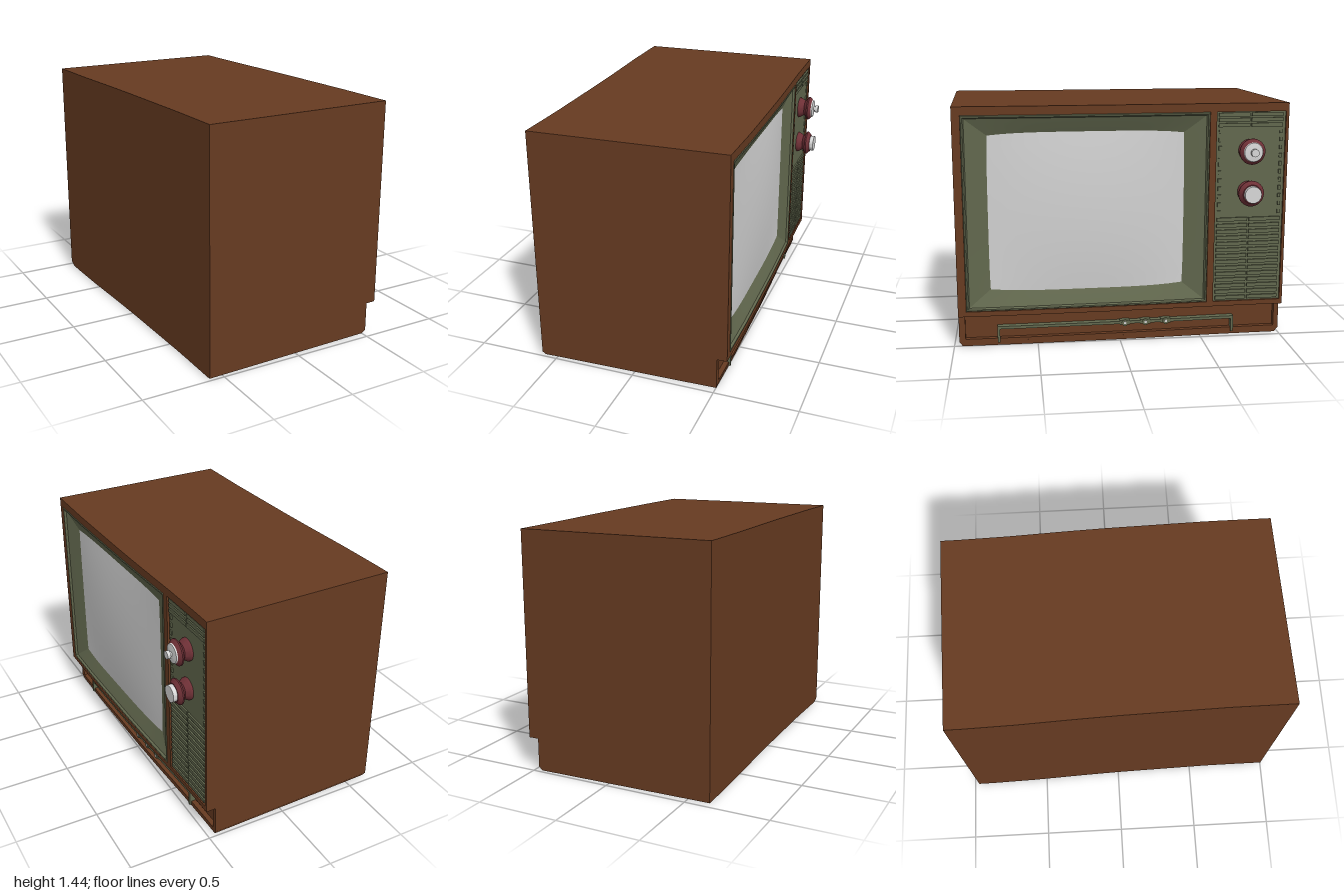
import * as THREE from 'three';
import { toCreasedNormals } from 'three/addons/utils/BufferGeometryUtils.js';

const mat = (name, color, side = THREE.FrontSide) => {
  const m = new THREE.MeshStandardMaterial({ color, side });
  m.name = name;
  return m;
};

// Slightly crooked cabinet: x offset along the width, given at a few z stations
const BEND = [[-1.1, 0], [-0.9, 0.002], [-0.6, 0.01], [-0.25, 0.026], [0, 0.035], [0.6, 0.049], [1.1, 0.05]];
function bend(z) {
  for (let i = 1; i < BEND.length; i++) {
    const [z0, a] = BEND[i - 1], [z1, b] = BEND[i];
    if (z <= z1) return a + (b - a) * Math.max(0, (z - z0) / (z1 - z0));
  }
  return 0.05;
}
function warp(geo) {
  const p = geo.attributes.position;
  for (let i = 0; i < p.count; i++) {
    const x = p.getX(i), z = p.getZ(i);
    p.setX(i, x + bend(z));
    p.setZ(i, z - 0.026 * (x - 0.52));
  }
  return geo;
}

export function createModel() {
  const wood = mat('wood', 0x673b21);
  const olive = mat('olive', 0x62684e);
  const oliveSheet = mat('olive bezel', 0x62684e, THREE.DoubleSide);
  const maroon = mat('maroon', 0x6e3036);
  const pale = mat('pale grey', 0xd8d8d8);
  const glass = mat('screen grey', 0xd2d2d2, THREE.DoubleSide);

  const tv = new THREE.Group();
  tv.name = 'television';
  const group = (name) => {
    const g = new THREE.Group();
    g.name = name;
    tv.add(g);
    return g;
  };
  const add = (parent, name, geo, material) => {
    const m = new THREE.Mesh(warp(geo), material);
    m.name = name;
    parent.add(m);
    return m;
  };
  const box = (parent, name, material, x0, x1, y0, y1, z0, z1) => {
    const segs = Math.max(1, Math.ceil((z1 - z0) / 0.1));
    const g = new THREE.BoxGeometry(x1 - x0, y1 - y0, z1 - z0, 1, 1, segs);
    g.translate((x0 + x1) / 2, (y0 + y1) / 2, (z0 + z1) / 2);
    return add(parent, name, g, material);
  };
  // Profile of [radius, x] pairs turned around an axis pointing out of the face
  const turned = (parent, name, material, pts, x, y, z, sides = 32) => {
    let g = new THREE.LatheGeometry(pts.map(([r, h]) => new THREE.Vector2(r, h)), sides);
    g = toCreasedNormals(g, 0.5);
    g.rotateZ(-Math.PI / 2).translate(x, y, z);
    return add(parent, name, g, material);
  };

  // Cabinet shell
  const Z0 = -1, Z1 = 0.968, FRONT = 0.52;
  const cabinet = group('cabinet');
  const side = new THREE.Shape([[-0.64, 0.03], [0.43, 0.03], [0.43, 0.2], [0.45, 0.203], [0.45, 1.44], [-0.64, 1.44]]
    .map(([x, y]) => new THREE.Vector2(x, y)));
  add(cabinet, 'shell', new THREE.ExtrudeGeometry(side, { depth: Z1 - Z0, steps: 20, bevelEnabled: false }).translate(0, 0, Z0), wood);

  // Tapered foot under the shell
  const foot = new THREE.BoxGeometry(1.1, 0.03, Z1 - Z0, 1, 1, 20);
  const fp = foot.attributes.position;
  for (let i = 0; i < fp.count; i++) {
    if (fp.getY(i) < 0) fp.setXYZ(i, fp.getX(i) * 0.985, fp.getY(i), fp.getZ(i) * 0.98);
  }
  foot.translate(-0.09, 0.015, (Z0 + Z1) / 2);
  add(cabinet, 'foot', foot, wood);

  // Front frame bars
  const frame = group('frontFrame');
  box(frame, 'topRail', wood, 0.45, FRONT, 1.39, 1.44, Z0, Z1);
  box(frame, 'bottomRail', wood, 0.42, FRONT, 0.205, 0.235, Z0, Z1);
  box(frame, 'screenStile', wood, 0.45, FRONT, 0.235, 1.39, 0.92, Z1);
  box(frame, 'middleStile', wood, 0.45, FRONT, 0.235, 1.39, -0.565, -0.525);
  box(frame, 'endStile', wood, 0.45, FRONT, 0.235, 1.39, Z0, -0.983);

  // Border of the recessed lower panel
  box(frame, 'lowerCheek', wood, 0.42, 0.46, 0.03, 0.205, 0.93, Z1);
  box(frame, 'lowerCheek', wood, 0.42, 0.46, 0.03, 0.205, Z0, -0.97);
  box(frame, 'lowerSill', wood, 0.42, 0.46, 0.03, 0.045, -0.97, 0.93);

  // Screen bezel lofted through rings: half width, half height, edge bow, x
  const CY = 0.8125, CZ = 0.1975, N = 14;
  const onFace = (u, v, [hw, hh, bow, x]) => [
    x, CY + v * (hh - bow * u ** 4), CZ + u * (hw - bow * 0.3 * v ** 4)];
  const inner = [0.58, 0.473, 0.016, 0.47];
  const rings = [
    [0.7225, 0.5775, 0, 0.512], [0.718, 0.573, 0, 0.522], [0.71, 0.565, 0, 0.522],
    [0.703, 0.558, 0, 0.508], [0.65, 0.52, 0.006, 0.492], inner];
  const rim = [];
  for (let s = 0; s < 4; s++) {
    for (let i = 0; i < N; i++) {
      const t = -1 + 2 * i / N;
      rim.push([[t, -1], [1, t], [-t, 1], [-1, -t]][s]);
    }
  }
  const pos = [], idx = [], L = rim.length;
  rings.forEach((r, k) => rim.forEach(([u, v], i) => {
    pos.push(...onFace(u, v, r));
    if (k === 0) return;
    const j = (i + 1) % L, a = (k - 1) * L + i, b = (k - 1) * L + j, c = k * L + i, d = k * L + j;
    idx.push(a, c, b, b, c, d);
  }));
  let bezel = new THREE.BufferGeometry();
  bezel.setAttribute('position', new THREE.Float32BufferAttribute(pos, 3));
  bezel.setIndex(idx);
  // Turn the faces outwards if the first slope points into the cabinet
  bezel.computeVertexNormals();
  if (bezel.attributes.normal.getX(4 * L + 5) < 0) bezel.setIndex(idx.reverse());
  bezel = toCreasedNormals(bezel, 0.4);
  const screen = group('screen');
  add(screen, 'bezel', bezel, oliveSheet);

  // Bulging picture tube
  const tube = new THREE.PlaneGeometry(2, 2, N, N);
  const tp = tube.attributes.position;
  for (let i = 0; i < tp.count; i++) {
    const u = -tp.getX(i), v = tp.getY(i);
    const [x, y, z] = onFace(u, v, inner);
    tp.setXYZ(i, x + 0.025 * (1 - u * u) * (1 - v * v), y, z);
  }
  tube.computeVertexNormals();
  add(screen, 'pictureTube', tube, glass);

  // Control panel with louvres and side studs
  const panel = group('controlPanel');
  const PX = 0.507;
  box(panel, 'panelPlate', olive, 0.45, PX, 0.235, 1.39, -0.983, -0.565);
  const louvreRow = (y) => {
    box(panel, 'louvre', olive, PX, PX + 0.01, y, y + 0.022, -0.766, -0.578);
    box(panel, 'louvre', olive, PX, PX + 0.01, y, y + 0.022, -0.966, -0.776);
  };
  for (let i = 0; i < 14; i++) louvreRow(0.245 + i * 0.0375);
  for (let i = 0; i < 3; i++) louvreRow(1.3 + i * 0.031);
  for (let i = 0; i < 11; i++) {
    const y = 0.775 + i * 0.0485;
    box(panel, 'stud', olive, PX, PX + 0.008, y, y + 0.024, -0.6, -0.58);
    box(panel, 'stud', olive, PX, PX + 0.008, y, y + 0.024, -0.966, -0.95);
  }

  // Flared tuning knobs
  const knobs = group('knobs');
  const KZ = -0.768;
  const flare = [[0.066, 0], [0.066, 0.012], [0.048, 0.04], [0.077, 0.062], [0.077, 0.07], [0.056, 0.09], [0, 0.09]];
  for (const y of [1.16, 0.91]) turned(knobs, 'knobBody', maroon, flare, PX, y, KZ);
  turned(knobs, 'upperKnobCap', pale,
    [[0.058, 0.088], [0.055, 0.096], [0.014, 0.1], [0.014, 0.11], [0.023, 0.11], [0.023, 0.13], [0, 0.13]], PX, 1.16, KZ);
  turned(knobs, 'lowerKnobCap', pale, [[0.05, 0.088], [0.05, 0.115], [0, 0.115]], PX, 0.91, KZ);

  // Trim bar with three small buttons on the lower panel
  const trim = group('trimBar');
  box(trim, 'bar', olive, 0.425, 0.47, 0.104, 0.121, -0.71, 0.74);
  box(trim, 'barEnd', olive, 0.425, 0.47, 0.02, 0.104, 0.725, 0.74);
  box(trim, 'barEnd', olive, 0.425, 0.47, 0.02, 0.104, -0.71, -0.695);
  for (const z of [-0.03, -0.157, -0.283]) {
    box(trim, 'buttonMount', olive, 0.43, 0.471, 0.099, 0.126, z - 0.03, z + 0.03);
    turned(trim, 'button', olive, [[0.02, 0], [0.02, 0.008], [0, 0.008]], 0.468, 0.112, z, 16);
    turned(trim, 'buttonTip', pale, [[0.008, 0], [0.008, 0.005], [0, 0.005]], 0.474, 0.112, z, 12);
  }
  return tv;
}
